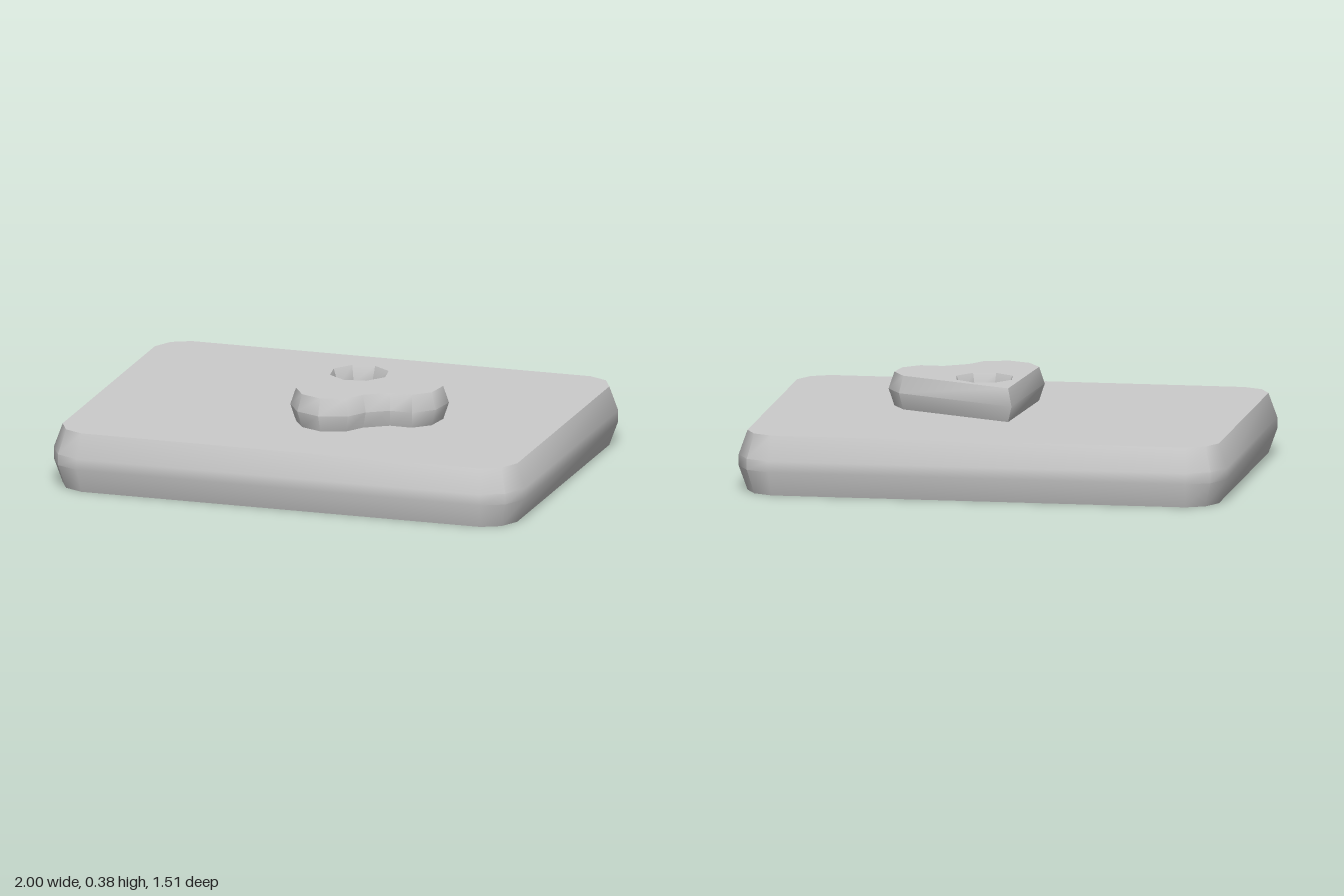
import * as THREE from 'three';
import { toCreasedNormals } from 'three/addons/utils/BufferGeometryUtils.js';

const V = (x, z) => new THREE.Vector2(x, z);

// Mitred inset of a closed (x, z) outline
function inset(loop, d) {
  const n = loop.length;
  const normal = (a, b) => V(b.y - a.y, a.x - b.x).normalize();
  return loop.map((p, i) => {
    const n1 = normal(loop[(i + n - 1) % n], p);
    const n2 = normal(p, loop[(i + 1) % n]);
    return p.clone().addScaledVector(n1.clone().add(n2), -d / (1 + n1.dot(n2)));
  });
}

// Loops stacked through levels [y, inset], closed by flat caps
function bevelledSlab(loops, levels, withBottom) {
  const pos = [];
  const put = (p, y) => pos.push(p.x, y, p.y);
  for (const loop of loops) {
    const rings = levels.map(([, d]) => inset(loop, d));
    for (let k = 0; k < levels.length - 1; k++) {
      const y0 = levels[k][0], y1 = levels[k + 1][0];
      loop.forEach((_, i) => {
        const j = (i + 1) % loop.length;
        const [a, b, c, d] = [rings[k][i], rings[k][j], rings[k + 1][i], rings[k + 1][j]];
        put(a, y0); put(c, y1); put(b, y0);
        put(b, y0); put(c, y1); put(d, y1);
      });
    }
  }
  const cap = ([y, d], up) => {
    const [outer, ...holes] = loops.map((l) => inset(l, d));
    const pts = [outer, ...holes].flat();
    for (const [i, j, k] of THREE.ShapeUtils.triangulateShape(outer, holes)) {
      const [a, b, c] = [pts[i], pts[j], pts[k]];
      const facesDown = b.clone().sub(a).cross(c.clone().sub(a)) > 0;
      (facesDown === up ? [a, c, b] : [a, b, c]).forEach((p) => put(p, y));
    }
  };
  cap(levels[levels.length - 1], true);
  if (withBottom) cap(levels[0], false);
  const geo = new THREE.BufferGeometry();
  geo.setAttribute('position', new THREE.Float32BufferAttribute(pos, 3));
  return toCreasedNormals(geo, 0.7);
}

export function createModel() {
  const group = new THREE.Group();
  const grey = new THREE.MeshStandardMaterial({ color: 0xcccccc });
  grey.name = 'grey';
  const add = (name, geo) => {
    const mesh = new THREE.Mesh(geo, grey);
    mesh.name = name;
    group.add(mesh);
  };

  // Base plate: one rounded corner mirrored to all four
  const corner = [[1, 0.61], [0.95, 0.71], [0.855, 0.757]];
  const plate = [[1, 1], [-1, 1], [-1, -1], [1, -1]].flatMap(([sx, sz]) => {
    const pts = corner.map(([x, z]) => V(sx * x, sz * z));
    return sx * sz > 0 ? pts : pts.reverse();
  });
  add('basePlate', bevelledSlab([plate], [[0, 0.035], [0.1, 0], [0.145, 0], [0.245, 0.035]], true));

  // Turned heart with an eight-sided hole
  const heart = [
    [-0.062, -0.283], [0.44, -0.043], [0.499, 0.06], [0.482, 0.18], [0.405, 0.252], [0.31, 0.25],
    [0.225, 0.305], [0.175, 0.385], [0.06, 0.419], [-0.043, 0.375], [-0.104, 0.277],
  ].map(([x, z]) => V(x, z));
  const hole = Array.from({ length: 8 }, (_, i) => {
    const a = -1.335 - (i * Math.PI) / 4;
    return V(0.094 + 0.098 * Math.cos(a), -0.016 + 0.098 * Math.sin(a));
  });
  add('heart', bevelledSlab([heart, hole], [[0.245, 0.022], [0.314, 0], [0.383, 0.022]], false));
  return group;
}
